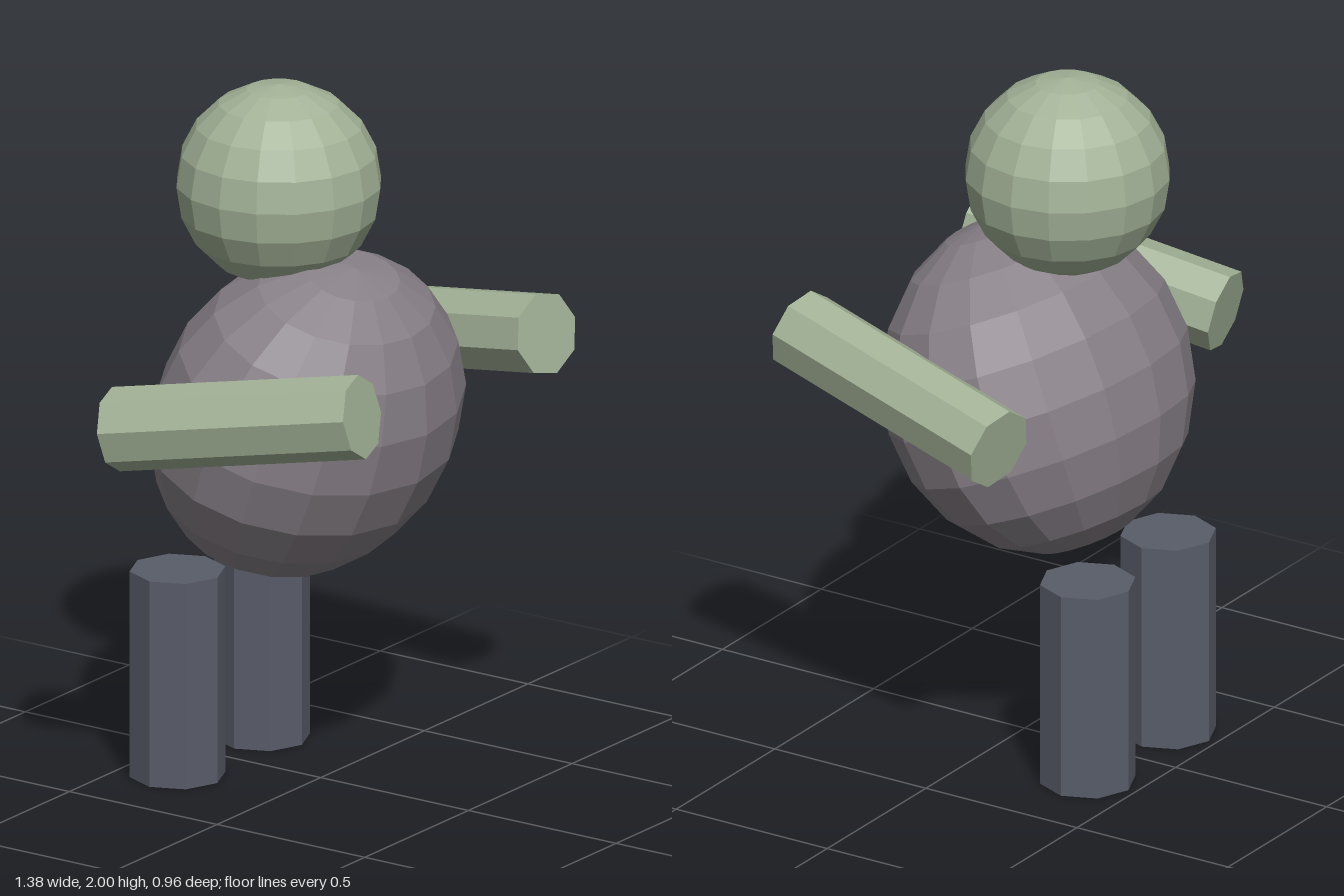
import * as THREE from 'three';

export function createModel() {
  const group = new THREE.Group();
  const material = (name, color) => {
    const m = new THREE.MeshStandardMaterial({ color, flatShading: true });
    m.name = name;
    return m;
  };
  const skin = material('pale green', 0xa3b297);
  const shirt = material('mauve grey', 0x878087);
  const trousers = material('slate grey', 0x595d69);

  const add = (name, geometry, mat) => {
    const mesh = new THREE.Mesh(geometry, mat);
    mesh.name = name;
    group.add(mesh);
    return mesh;
  };

  // Faceted head, set towards the back
  add('head', new THREE.SphereGeometry(0.288, 16, 10), skin).position.set(0, 1.712, -0.142);

  // Egg-shaped torso leaning forward
  const torso = add('torso', new THREE.SphereGeometry(1, 16, 10), shirt);
  torso.scale.set(0.5, 0.48, 0.397);
  torso.rotation.x = 0.35;
  torso.position.set(0, 1.06, -0.045);

  for (const [side, s] of [['left', 1], ['right', -1]]) {
    // Arms reach forward, slightly up and inward
    const back = new THREE.Vector3(0.575 * s, 1.12, -0.29);
    const front = new THREE.Vector3(0.445 * s, 1.262, 0.452);
    const dir = front.clone().sub(back);
    const arm = add(side + 'Arm', new THREE.CylinderGeometry(0.118, 0.118, dir.length(), 8), skin);
    arm.position.copy(back).add(front).multiplyScalar(0.5);
    arm.quaternion.setFromUnitVectors(new THREE.Vector3(0, 1, 0), dir.normalize());

    // Upright legs behind the torso
    const leg = add(side + 'Leg', new THREE.CylinderGeometry(0.135, 0.135, 0.6, 8), trousers);
    leg.position.set(0.204 * s, 0.3, -0.342);
  }
  return group;
}
